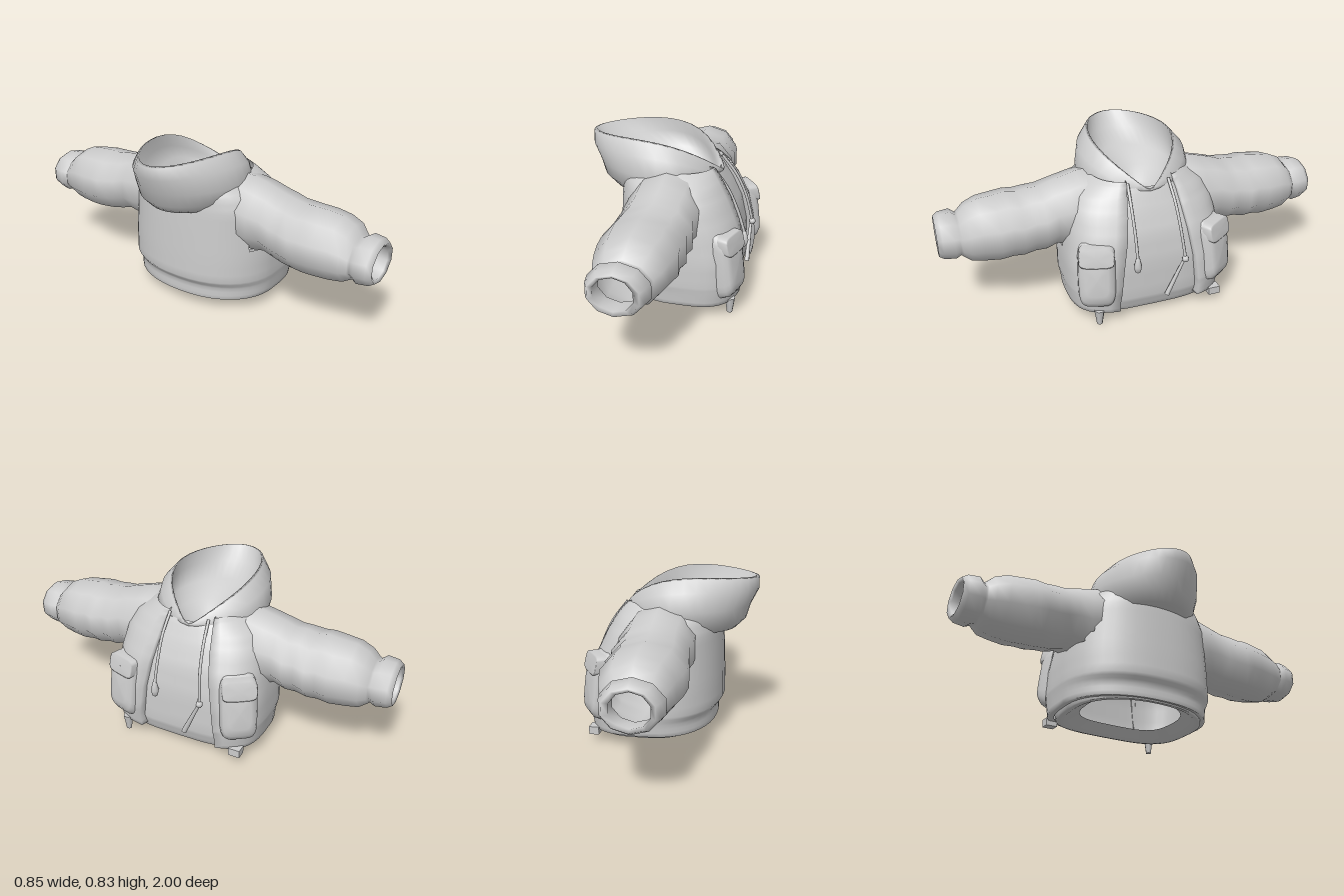
import * as THREE from 'three';

const cloth = new THREE.MeshStandardMaterial({ color: 0xcccccc, side: THREE.DoubleSide });
cloth.name = 'grey cloth';

const V = (x, y, z) => new THREE.Vector3(x, y, z);
const { lerp, clamp } = THREE.MathUtils;

function add(group, name, geometry) {
  const mesh = new THREE.Mesh(geometry, cloth);
  mesh.name = name;
  group.add(mesh);
  return mesh;
}

// Skin a list of equal rings; skip(centre) leaves holes
function loft(rings, closed = true, skip = () => false) {
  const n = rings[0].length, index = [];
  const cols = closed ? n : n - 1;
  for (let r = 0; r < rings.length - 1; r++) {
    for (let i = 0; i < cols; i++) {
      const j = (i + 1) % n;
      const c = rings[r][i].clone().add(rings[r + 1][j]).multiplyScalar(0.5);
      if (skip(c)) continue;
      const a = r * n + i, b = r * n + j;
      index.push(a, a + n, b, b, a + n, b + n);
    }
  }
  const g = new THREE.BufferGeometry().setFromPoints(rings.flat());
  g.setIndex(index);
  g.computeVertexNormals();
  return g;
}

// Insert rows between the given ones
function subdivide(rows, k) {
  const out = [];
  for (let r = 0; r < rows.length - 1; r++)
    for (let s = 0; s < k; s++) out.push(rows[r].map((v, i) => lerp(v, rows[r + 1][i], s / k)));
  out.push(rows[rows.length - 1]);
  return out;
}

const pow = (v, e) => Math.sign(v) * Math.abs(v) ** e;

// Front roundness: boxy at the waist, softer at the chest
const frontPower = y => 0.55 + 0.2 * clamp((y - 0.3) / 0.3, 0, 1);

// Torso section, rounder at the back
function torsoPoint(t, yb, yf, xb, xf, w) {
  const c = Math.cos(t), e = c > 0 ? frontPower(yf) : 0.9;
  const mid = (xb + xf) / 2, half = (xf - xb) / 2;
  return V(mid + half * pow(c, e), lerp(yb, yf, (c + 1) / 2), w * pow(Math.sin(t), e));
}

const armHole = c => Math.abs(c.z) > 0.2 && Math.hypot(c.x, c.y - 0.45) < 0.12;

function shirtGeometry() {
  // back y, front y, back x, front x, half width; starts at the turned-in hem
  const rows = subdivide([
    [0.1, 0.08, -0.13, 0.25, 0.26],
    [0.06, 0.03, -0.19, 0.32, 0.34],
    [0.06, 0.035, -0.21, 0.34, 0.37],
    [0.13, 0.11, -0.215, 0.365, 0.38],
    [0.3, 0.3, -0.235, 0.36, 0.39],
    [0.44, 0.44, -0.235, 0.335, 0.38],
    [0.55, 0.55, -0.225, 0.29, 0.35],
    [0.61, 0.63, -0.2, 0.25, 0.27],
    [0.61, 0.655, -0.2, 0.235, 0.25],
  ], 3);
  const n = 40;
  return loft(rows.map(r => Array.from({ length: n }, (_, i) =>
    torsoPoint(i / n * Math.PI * 2, ...r))), true, armHole);
}

function jacketGeometry() {
  // y, back x, front x, half width, opening half width
  const rows = subdivide([
    [0.065, -0.215, 0.37, 0.37, 0.2],
    [0.065, -0.23, 0.395, 0.4, 0.21],
    [0.13, -0.23, 0.405, 0.408, 0.21],
    [0.175, -0.262, 0.41, 0.415, 0.205],
    [0.3, -0.26, 0.4, 0.413, 0.19],
    [0.44, -0.255, 0.375, 0.4, 0.165],
    [0.55, -0.25, 0.325, 0.385, 0.145],
    [0.62, -0.245, 0.285, 0.345, 0.135],
    [0.67, -0.25, 0.252, 0.275, 0.125],
    [0.69, -0.28, 0.235, 0.245, 0.12],
  ], 3);
  const n = 40;
  return loft(rows.map(([y, xb, xf, w, open]) => {
    const edge = z => Math.asin((z / w) ** (1 / frontPower(y)));
    const t0 = edge(open - 0.02), t1 = Math.PI * 2 - edge(open + 0.02);
    const ring = Array.from({ length: n + 1 }, (_, i) =>
      torsoPoint(lerp(t0, t1, i / n), y, y, xb, xf, w));
    // Turned-in front edges
    const fold = p => V(p.x - 0.05, p.y, p.z * 0.98);
    return [fold(ring[0]), ...ring, fold(ring[n])];
  }), false, armHole);
}

// Hood: outside from the neck up, over the rim, and down into the neck
function hoodGeometry() {
  // back x, front x, half width, back y, front y, pinch toward the throat
  const rows = [
    [-0.2, 0.16, 0.2, 0.56, 0.6, 0],
    [-0.32, 0.19, 0.24, 0.55, 0.61, 0],
    [-0.37, 0.215, 0.28, 0.6, 0.62, 0],
    [-0.39, 0.235, 0.3, 0.67, 0.63, 0.05],
    [-0.43, 0.25, 0.278, 0.75, 0.635, 0.2],
    [-0.43, 0.255, 0.226, 0.81, 0.645, 0.6],
    [-0.415, 0.245, 0.212, 0.815, 0.645, 0.6],
    [-0.36, 0.225, 0.225, 0.74, 0.63, 0.5],
    [-0.24, 0.215, 0.2, 0.68, 0.62, 0.4],
    [-0.08, 0.205, 0.14, 0.63, 0.6, 0.2],
    [-0.03, 0.16, 0.09, 0.56, 0.56, 0],
    [0.065, 0.066, 0.0005, 0.55, 0.55, 0],
  ];
  const n = 36;
  return loft(rows.map(([xb, xf, w, yb, yf, pinch]) => Array.from({ length: n }, (_, i) => {
    const t = i / n * Math.PI * 2, s = (1 - Math.cos(t)) / 2;
    const crown = yb > 0.7 ? 0.015 * Math.sin(Math.PI * s) : 0;
    return V(lerp(xb, xf, s), lerp(yb, yf, s ** 5) + crown,
      -0.015 + w * Math.sin(t) * (0.81 + 0.29 * s - pinch * s ** 8));
  })));
}

function sleeveGeometry(side) {
  // z, bottom y, top y, back x, front x
  const rows = [
    [0.24, 0.33, 0.7, -0.15, 0.2],
    [0.3, 0.325, 0.695, -0.155, 0.205],
    [0.36, 0.32, 0.68, -0.155, 0.21],
    [0.43, 0.335, 0.66, -0.15, 0.2],
    [0.49, 0.32, 0.64, -0.16, 0.213],
    [0.54, 0.31, 0.635, -0.165, 0.195],
    [0.6, 0.305, 0.625, -0.177, 0.212],
    [0.65, 0.3, 0.63, -0.175, 0.195],
    [0.71, 0.297, 0.625, -0.17, 0.203],
    [0.79, 0.3, 0.617, -0.155, 0.183],
    [0.85, 0.31, 0.59, -0.14, 0.168],
    [0.885, 0.335, 0.55, -0.125, 0.14],
    [0.895, 0.342, 0.543, -0.12, 0.128],
    [0.92, 0.33, 0.562, -0.138, 0.143],
    [0.975, 0.335, 0.557, -0.127, 0.132],
    [1.0, 0.35, 0.54, -0.11, 0.115],
    [0.99, 0.366, 0.524, -0.089, 0.086],
    [0.9, 0.36, 0.53, -0.097, 0.095],
  ];
  const n = 10;
  return loft(rows.map(([z, y0, y1, x0, x1]) => Array.from({ length: n }, (_, i) => {
    const t = -side * (i + 0.5) / n * Math.PI * 2;
    return V((x0 + x1) / 2 + (x1 - x0) / 2 * Math.cos(t) * 1.04,
      (y0 + y1) / 2 + (y1 - y0) / 2 * Math.sin(t), side * z);
  })));
}

// Soft rounded pad facing +x, sagging outward at the bottom
function padGeometry(rows, sag) {
  const n = 24;
  return loft(rows.map(([out, hw, hh]) => Array.from({ length: n }, (_, i) => {
    const t = i / n * Math.PI * 2;
    const y = hh * pow(Math.sin(t), 0.45);
    return V(out - sag * y, y, hw * pow(Math.cos(t), 0.45));
  })));
}

// Patch pocket with its flap
function addPocket(group, name, position, turn) {
  const pocket = new THREE.Group();
  pocket.name = name;
  add(pocket, 'pocketBag', padGeometry(
    [[-0.045, 0.095, 0.175], [0.0, 0.09, 0.155], [0.022, 0.08, 0.125], [0.032, 0.055, 0.085], [0.034, 0.0005, 0.0005]], 0.13));
  const flap = add(pocket, 'pocketFlap', padGeometry(
    [[-0.04, 0.086, 0.048], [0.008, 0.086, 0.048], [0.012, 0.08, 0.042], [0.012, 0.0005, 0.0005]], 0.25));
  flap.position.set(0.006, 0.115, 0);
  pocket.position.set(...position);
  pocket.rotation.y = turn;
  group.add(pocket);
}

function addCord(group, name, points) {
  const curve = new THREE.CatmullRomCurve3(points.map(p => V(...p)));
  add(group, name, new THREE.TubeGeometry(curve, 16, 0.008, 6));
}

export function createModel() {
  const model = new THREE.Group();
  model.name = 'hoodedJacket';
  add(model, 'shirt', shirtGeometry());
  add(model, 'jacket', jacketGeometry());
  add(model, 'hood', hoodGeometry());
  add(model, 'leftSleeve', sleeveGeometry(1));
  add(model, 'rightSleeve', sleeveGeometry(-1));
  addPocket(model, 'leftPocket', [0.365, 0.275, 0.3], -0.3);
  addPocket(model, 'rightPocket', [0.345, 0.3, -0.34], 0.6);

  // Drawstrings with their end toggles
  addCord(model, 'leftDrawstring', [[0.225, 0.68, 0.095], [0.3, 0.58, 0.1], [0.355, 0.46, 0.1], [0.39, 0.35, 0.1]]);
  const toggle = add(model, 'leftToggle', new THREE.LatheGeometry(
    [[0.002, -0.045], [0.014, -0.035], [0.021, -0.005], [0.01, 0.04], [0.002, 0.042]]
      .map(p => new THREE.Vector2(...p)), 8));
  toggle.position.set(0.39, 0.318, 0.1);
  addCord(model, 'rightDrawstring', [[0.225, 0.68, -0.115], [0.3, 0.58, -0.125], [0.355, 0.46, -0.135], [0.392, 0.31, -0.15]]);
  const bead = add(model, 'rightToggle', new THREE.SphereGeometry(0.018, 8, 6));
  bead.position.set(0.392, 0.305, -0.15);
  const tail = add(model, 'rightCordEnd', new THREE.CylinderGeometry(0.008, 0.014, 0.2, 6));
  tail.position.set(0.385, 0.2, -0.1);
  tail.rotation.x = -0.43;

  // Zip pulls hanging from the front hem
  const pull = add(model, 'leftZipPull', new THREE.CylinderGeometry(0.027, 0.015, 0.08, 6));
  pull.position.set(0.36, 0.04, 0.29);
  const stub = add(model, 'rightZipPull', new THREE.BoxGeometry(0.05, 0.04, 0.06));
  stub.position.set(0.35, 0.06, -0.33);
  return model;
}
